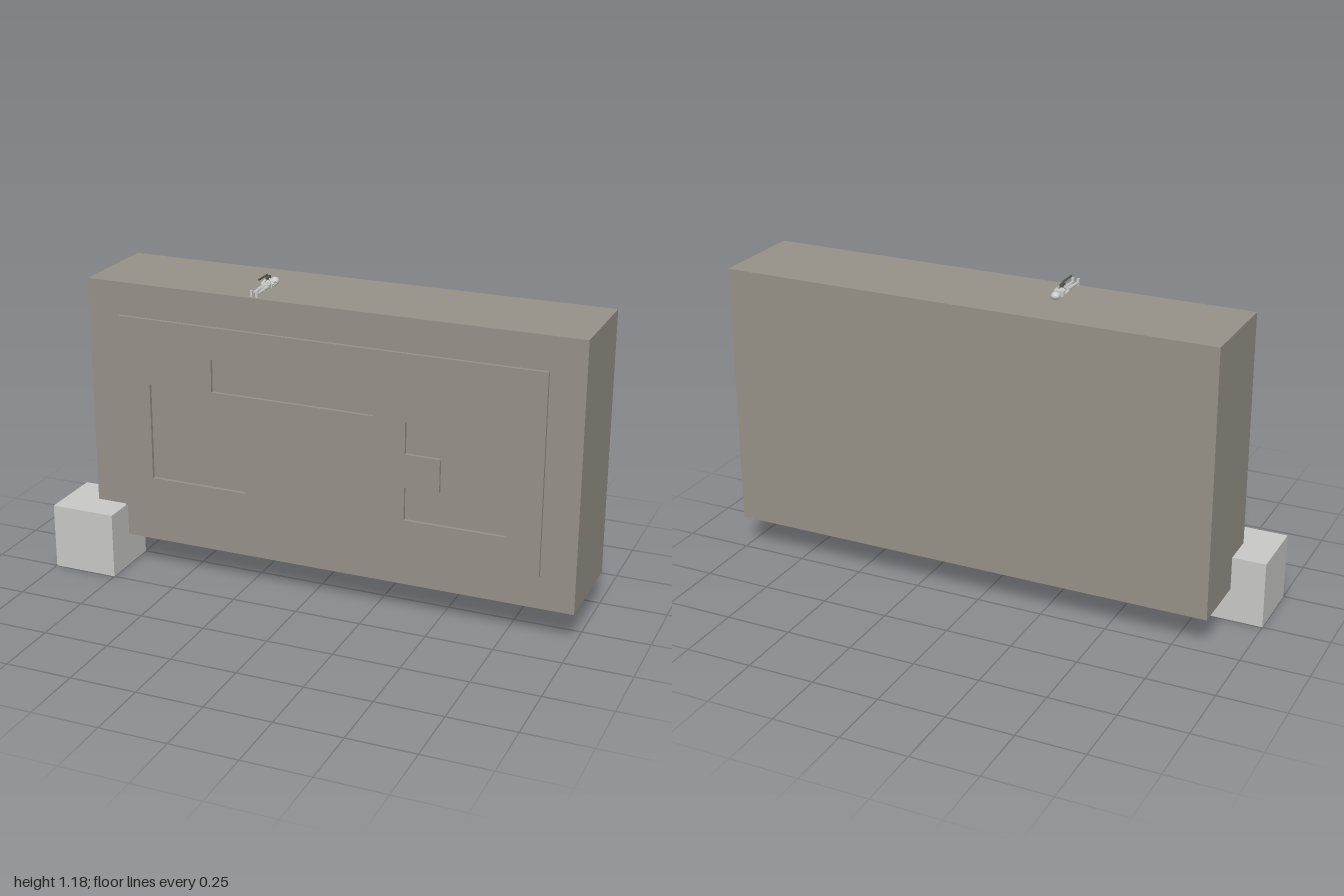
import * as THREE from 'three';

export function createModel() {
  const model = new THREE.Group();
  const stone = new THREE.MeshStandardMaterial({ name: 'warm grey stone', color: 0x969188 });
  const pale = new THREE.MeshStandardMaterial({ name: 'pale grey', color: 0xc8c8c6 });
  const metal = new THREE.MeshStandardMaterial({ name: 'dark grey', color: 0x55554f });

  const add = (parent, name, geometry, material, x, y, z) => {
    const mesh = new THREE.Mesh(geometry, material);
    mesh.name = name;
    mesh.position.set(x, y, z);
    parent.add(mesh);
    return mesh;
  };
  const box = (parent, name, material, w, h, d, x, y, z) =>
    add(parent, name, new THREE.BoxGeometry(w, h, d), material, x, y, z);

  // Main slab and the cube embedded in its lower corner
  box(model, 'slab', stone, 1.875, 1, 0.375, 0.0625, 0.625, -0.0625);
  box(model, 'cornerCube', pale, 0.25, 0.25, 0.25, -0.875, 0.125, 0.125);

  // Raised front panel with recessed block shapes
  const points = (list) => list.map(([x, y]) => new THREE.Vector2(x, y));
  const panel = new THREE.Shape(points([[-0.75, 0.25], [0.872, 0.25], [0.872, 1], [-0.75, 1]]));
  const recesses = [
    [[-0.378, 0.755], [0.25, 0.755], [0.25, 0.88], [-0.378, 0.88]],
    [[-0.63, 0.38], [-0.252, 0.38], [-0.252, 0.505], [-0.504, 0.505], [-0.504, 0.752], [-0.63, 0.752]],
    [[0.37, 0.63], [0.498, 0.63], [0.498, 0.752], [0.37, 0.752]],
    [[0.37, 0.38], [0.75, 0.38], [0.75, 0.505], [0.625, 0.505], [0.625, 0.628],
      [0.5, 0.628], [0.5, 0.505], [0.37, 0.505]],
  ];
  for (const recess of recesses) panel.holes.push(new THREE.Path(points(recess).reverse()));
  add(model, 'frontPanel', new THREE.ExtrudeGeometry(panel, { depth: 0.013, bevelEnabled: false }),
    stone, 0, 0, 0.125);

  // Small figure lying on top, feet to the front
  const figure = new THREE.Group();
  figure.name = 'lyingFigure';
  figure.position.set(-0.21, 1.125, 0);
  model.add(figure);

  const limb = (name, a, b, r, material = pale) => {
    const from = new THREE.Vector3(...a), to = new THREE.Vector3(...b);
    const mid = from.clone().add(to).multiplyScalar(0.5);
    const mesh = add(figure, name, new THREE.CylinderGeometry(r, r, from.distanceTo(to), 8),
      material, mid.x, mid.y, mid.z);
    mesh.quaternion.setFromUnitVectors(new THREE.Vector3(0, 1, 0), to.sub(from).normalize());
  };

  add(figure, 'head', new THREE.SphereGeometry(0.016, 12, 8), pale, 0, 0.016, -0.056)
    .scale.set(1.1, 0.9, 1.1);
  limb('neck', [0, 0.014, -0.04], [0, 0.014, -0.025], 0.006);
  box(figure, 'chest', pale, 0.036, 0.02, 0.034, 0, 0.015, -0.011);
  box(figure, 'hips', pale, 0.028, 0.018, 0.02, 0, 0.014, 0.018);
  for (const side of [-1, 1]) {
    limb('thigh', [side * 0.008, 0.015, 0.02], [side * 0.009, 0.015, 0.065], 0.0075);
    limb('shin', [side * 0.009, 0.014, 0.065], [side * 0.01, 0.013, 0.115], 0.0055);
    box(figure, 'foot', pale, 0.009, 0.024, 0.01, side * 0.01, 0.015, 0.118);
    limb('upperArm', [side * 0.02, 0.015, -0.022], [side * 0.022, 0.02, 0.004], 0.005);
    limb('forearm', [side * 0.022, 0.02, 0.004], [-0.004 + side * 0.003, 0.038, -0.008], 0.0045);
  }

  // Object held above the chest
  box(figure, 'heldBlock', metal, 0.012, 0.012, 0.022, -0.004, 0.041, -0.008);
  limb('heldBar', [-0.005, 0.052, -0.004], [-0.005, 0.052, 0.068], 0.0035, metal);

  return model;
}
